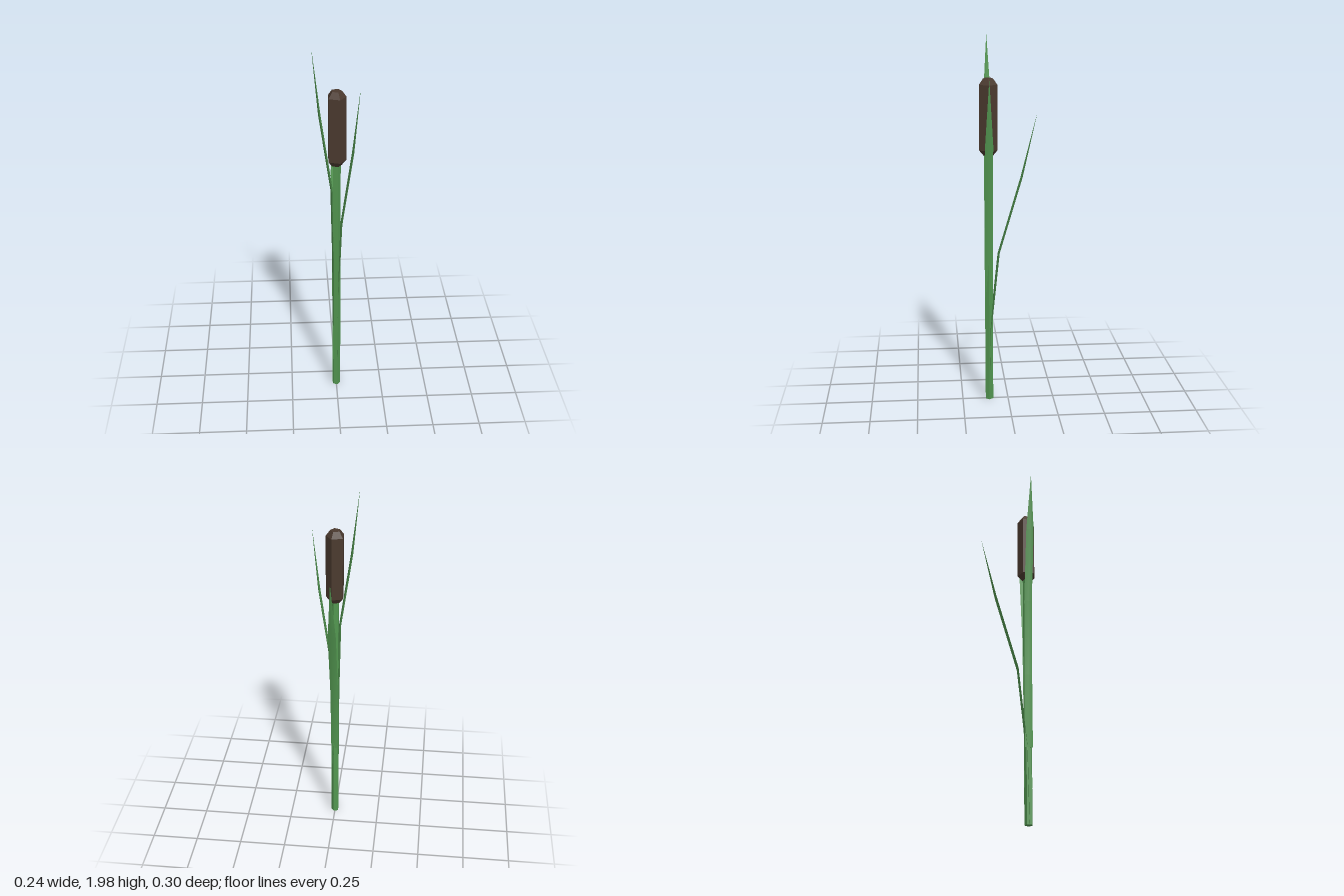
import * as THREE from 'three';

const green = new THREE.MeshStandardMaterial({ color: 0x529650 });
green.name = 'leafGreen';
const brown = new THREE.MeshStandardMaterial({ color: 0x4b3a2f });
brown.name = 'headBrown';

// Five-sided tapered section with one corner towards +x
function prism(name, rTop, rBottom, y0, y1, material, open) {
  const geo = new THREE.CylinderGeometry(rTop, rBottom, y1 - y0, 5, 1, open, Math.PI / 2).toNonIndexed();
  geo.computeVertexNormals();
  const mesh = new THREE.Mesh(geo, material);
  mesh.name = name;
  mesh.position.y = (y0 + y1) / 2;
  return mesh;
}

// Blade with a thin diamond section, leaning out along +x; rings are [out, y, halfWidth, halfThickness]
function bladeGeometry(rings) {
  const pos = [], index = [];
  for (const side of [1, -1]) {
    const start = pos.length / 3;
    for (const [out, y, w, t] of rings) {
      pos.push(out, y, w, out + side * t, y, 0, out, y, -w);
    }
    for (let i = 0; i < rings.length - 1; i++) {
      for (let j = 0; j < 2; j++) {
        const a = start + i * 3 + j, b = a + 1, c = a + 3, d = a + 4;
        if (side > 0) index.push(a, b, d, a, d, c);
        else index.push(a, d, b, a, c, d);
      }
    }
  }
  // bottom end
  const e = pos.length / 3, [out, y, w, t] = rings[0];
  pos.push(out, y, w, out + t, y, 0, out, y, -w, out - t, y, 0);
  index.push(e, e + 2, e + 1, e, e + 3, e + 2);
  const geo = new THREE.BufferGeometry();
  geo.setAttribute('position', new THREE.Float32BufferAttribute(pos, 3));
  geo.setIndex(index);
  geo.computeVertexNormals();
  return geo;
}

export function createModel() {
  const model = new THREE.Group();
  model.name = 'reed';
  const plant = new THREE.Group();
  plant.name = 'plant';
  plant.position.z = 0.103;
  model.add(plant);

  plant.add(prism('stem', 0.022, 0.022, 0, 1.39, green, false));

  // Seed head with bevelled ends
  const head = new THREE.Group();
  head.name = 'seedHead';
  head.add(
    prism('headBottom', 0.05, 0.027, 1.37, 1.398, brown, false),
    prism('headBody', 0.05, 0.05, 1.398, 1.738, brown, true),
    prism('headTop', 0.027, 0.05, 1.738, 1.77, brown, false)
  );
  plant.add(head);

  // Three blades at different heights: left (+x), right (-x) and back (-z)
  const blades = [
    ['leftBlade', 0, 0.19, [0.004, 0.008, 0.025, 0.084, 0.118]],
    ['rightBlade', Math.PI, 0.4, [0.016, 0.016, 0.025, 0.085, 0.12]],
    ['backBlade', Math.PI / 2, 0.005, [0, 0.008, 0.053, 0.175, 0.255]],
  ];
  const heights = [0, 0.4, 0.83, 1.245, 1.58];
  for (const [name, turn, base, outs] of blades) {
    const rings = heights.map((h, i) => {
      const tip = i === 4;
      return [outs[i], base + h, tip ? 0.0005 : 0.021, tip ? 0.0003 : 0.006];
    });
    const blade = new THREE.Mesh(bladeGeometry(rings), green);
    blade.name = name;
    blade.rotation.y = turn;
    plant.add(blade);
  }
  return model;
}
